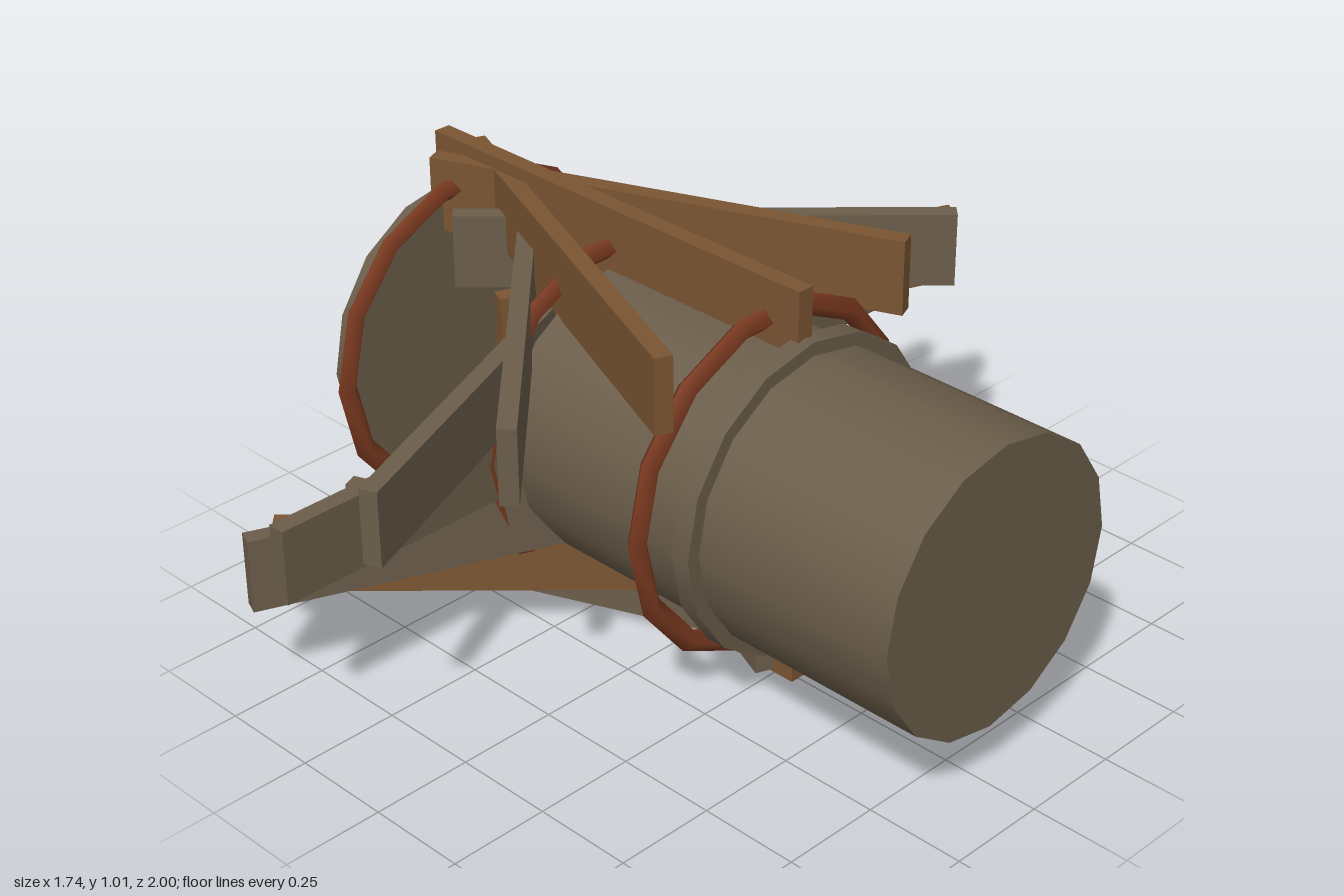
import * as THREE from 'three';

export function createModel() {
  const model = new THREE.Group();
  const mat = (name, color) => {
    const m = new THREE.MeshStandardMaterial({ color });
    m.name = name;
    return m;
  };
  const weathered = mat('weathered wood', 0x6b5d4a);
  const brown = mat('brown wood', 0x7a5532);
  const rust = mat('rusty iron', 0x7c3a20);

  const axisY = 0.505, hubX = -0.283, radius = 0.412;
  const add = (name, geometry, material, x, y, z) => {
    const mesh = new THREE.Mesh(geometry, material);
    mesh.name = name;
    mesh.position.set(x, y, z);
    model.add(mesh);
    return mesh;
  };

  // Discs and drum lie along x
  const drum = (name, r, x0, x1) => {
    const g = new THREE.CylinderGeometry(r, r, x1 - x0, 16);
    add(name, g, weathered, (x0 + x1) / 2, axisY, 0).rotation.z = Math.PI / 2;
  };
  drum('drum', 0.353, hubX, 0.866);
  drum('leftLid', 0.386, -0.842, -0.79);
  drum('rightLid', 0.386, 0.282, 0.332);

  // Splayed staves: placed round the axis, each turned about y
  const brownStaves = new Set([0, 1, 6, 8, 10, 13, 15]);
  const staveGeometry = new THREE.BoxGeometry(1.176, 0.185, 0.043);
  for (let i = 0; i < 16; i++) {
    const a = (i / 16) * Math.PI * 2;
    const stave = add('stave', staveGeometry, brownStaves.has(i) ? brown : weathered,
      hubX, axisY + radius * Math.cos(a), radius * Math.sin(a));
    stave.rotation.y = -a;
  }

  // Iron hoops
  const hoopGeometry = new THREE.TorusGeometry(radius, 0.027, 4, 14);
  for (const x of [hubX - 0.487, hubX, hubX + 0.487]) {
    add('hoop', hoopGeometry, rust, x, axisY, 0).rotation.y = Math.PI / 2;
  }
  return model;
}
